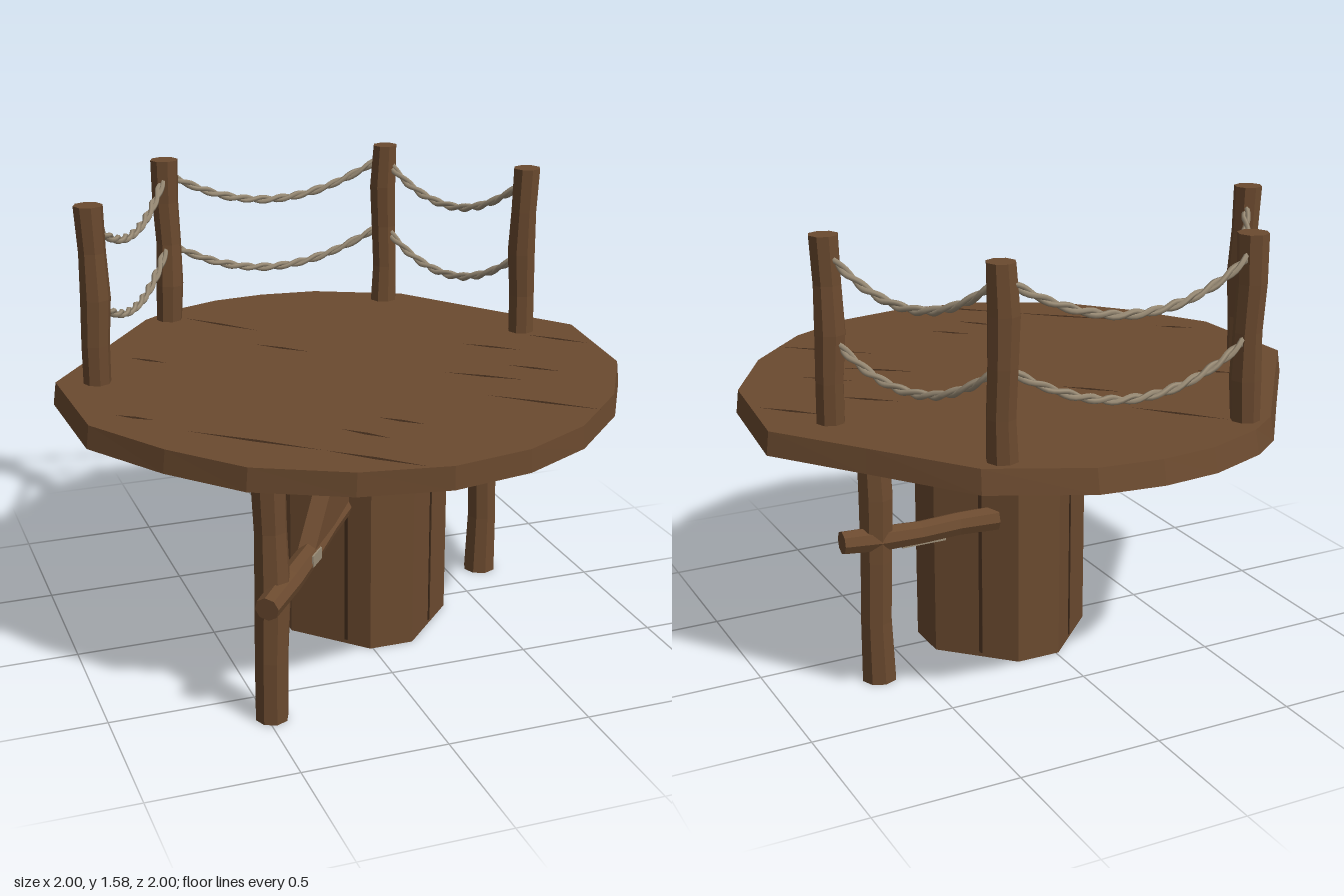
import * as THREE from 'three';

const wood = new THREE.MeshStandardMaterial({ color: 0x6b4a2f, flatShading: true });
wood.name = 'wood';
const crackWood = new THREE.MeshStandardMaterial({ color: 0x3f2a1a });
crackWood.name = 'darkCrack';
const ropeFibre = new THREE.MeshStandardMaterial({ color: 0x9a8c76 });
ropeFibre.name = 'ropeFibre';

const V = (x, y, z) => new THREE.Vector3(x, y, z);

function add(parent, name, geometry, material) {
  const mesh = new THREE.Mesh(geometry, material);
  mesh.name = name;
  parent.add(mesh);
  return mesh;
}

// Slightly crooked octagonal log between two points
function log(parent, name, a, b, r, seed = 0) {
  const len = a.distanceTo(b);
  const geo = new THREE.CylinderGeometry(r, r, len, 8, 4);
  const p = geo.attributes.position;
  for (let i = 0; i < p.count; i++) {
    const t = p.getY(i) / len;
    const swell = 1 + 0.06 * Math.sin(t * 9 + seed * 2);
    p.setX(i, p.getX(i) * swell + 0.005 * Math.sin(t * 7 + seed));
    p.setZ(i, p.getZ(i) * swell + 0.005 * Math.cos(t * 6 + seed));
  }
  const mesh = add(parent, name, geo, wood);
  mesh.position.copy(a).lerp(b, 0.5);
  mesh.quaternion.setFromUnitVectors(V(0, 1, 0), b.clone().sub(a).normalize());
  return mesh;
}

// Horizontal outline of [x, z] points, extruded down from a top height
function slab(outline, top, depth) {
  const shape = new THREE.Shape(outline.map(([x, z]) => new THREE.Vector2(x, z)));
  const geo = new THREE.ExtrudeGeometry(shape, { depth, bevelEnabled: false });
  return geo.rotateX(Math.PI / 2).translate(0, top, 0);
}

// Two twisted strands sagging between posts
function rope(parent, a, b, y, sag, bow) {
  const group = new THREE.Group();
  group.name = 'rope';
  const side = V(a[1] - b[1], 0, b[0] - a[0]).normalize();
  const turns = Math.hypot(b[0] - a[0], b[1] - a[1]) * 7;
  for (let s = 0; s < 2; s++) {
    const pts = [];
    for (let i = 0; i <= 40; i++) {
      const t = i / 40, arc = 4 * t * (1 - t);
      const angle = Math.PI * (2 * turns * t + s);
      const p = V(a[0] + (b[0] - a[0]) * t, y - sag * arc, a[1] + (b[1] - a[1]) * t - bow * Math.sqrt(arc));
      p.addScaledVector(side, 0.008 * Math.cos(angle));
      p.y += 0.008 * Math.sin(angle);
      pts.push(p);
    }
    add(group, 'ropeStrand', new THREE.TubeGeometry(new THREE.CatmullRomCurve3(pts), 60, 0.0095, 5), ropeFibre);
  }
  parent.add(group);
}

export function createModel() {
  const model = new THREE.Group();
  model.name = 'woodenLookoutPlatform';

  // Deck
  const deck = [
    [0, -1], [0.22, -0.975], [0.54, -0.82], [0.78, -0.49], [1, -0.19], [0.95, 0.27], [0.77, 0.58],
    [0.53, 0.82], [0.28, 0.95], [0, 1], [-0.3, 0.95], [-0.6, 0.8], [-0.8, 0.57], [-0.98, 0.28],
    [-1, -0.18], [-0.76, -0.5], [-0.53, -0.81], [-0.41, -0.9], [-0.2, -0.98],
  ];
  const deckGeo = slab(deck, 0.96, 0.08);
  const dp = deckGeo.attributes.position;
  for (let i = 0; i < dp.count; i++) {
    if (dp.getY(i) > 0.92) {
      dp.setX(i, dp.getX(i) * 0.99);
      dp.setZ(i, dp.getZ(i) * (dp.getZ(i) < 0 ? 0.98 : 1));
    }
  }
  deckGeo.computeVertexNormals();
  add(model, 'deck', deckGeo, wood);

  // Cracks along the deck boards: x1, z1, x2, z2
  const cracks = [
    [-0.38, -0.76, -0.16, -0.51], [-0.22, -0.35, -0.06, -0.2], [0.31, 0.18, 0.54, 0.35],
    [0.35, 0.45, 0.65, 0.71], [-0.69, 0.44, -0.33, 0.75], [-0.33, 0.75, -0.08, 0.98],
    [-0.87, 0.22, -0.76, 0.31], [0.5, -0.1, 0.67, 0.04], [0.55, 0.18, 0.7, 0.31],
    [-0.07, 0.53, 0.05, 0.64], [-0.22, 0.59, -0.1, 0.72], [0.77, -0.12, 0.94, 0.05],
    [-0.69, -0.35, -0.58, -0.25],
  ];
  for (const [x1, z1, x2, z2] of cracks) {
    const geo = new THREE.CircleGeometry(0.5, 4).rotateX(-Math.PI / 2);
    const crack = add(model, 'deckCrack', geo, crackWood);
    crack.scale.set(Math.hypot(x2 - x1, z2 - z1), 1, 0.018);
    crack.rotation.y = -Math.atan2(z2 - z1, x2 - x1);
    crack.position.set((x1 + x2) / 2, 0.962, (z1 + z2) / 2);
  }

  // Trunk: a square turned 45 degrees with cut corners
  const trunk = [
    [0.37, -0.08], [0.37, 0.08], [0.15, 0.31], [-0.01, 0.31],
    [-0.23, 0.08], [-0.23, -0.08], [-0.01, -0.3], [0.15, -0.3],
  ];
  add(model, 'trunk', slab(trunk, 0.9, 0.9), wood);

  // Vertical splits in the four broad trunk faces
  for (const [i, t] of [[1, 0.5], [3, 0.3], [5, 0.6], [7, 0.45]]) {
    const [ax, az] = trunk[i], [bx, bz] = trunk[(i + 1) % 8];
    const split = add(model, 'trunkSplit', new THREE.BoxGeometry(0.012, 0.86, 0.006), crackWood);
    split.position.set(ax + (bx - ax) * t, 0.445, az + (bz - az) * t);
    split.rotation.y = -Math.atan2(bz - az, bx - ax);
  }

  // Support legs
  log(model, 'frontLeg', V(-0.48, 0, 0.65), V(-0.48, 0.9, 0.65), 0.058, 1);
  log(model, 'sideLeg', V(0.635, 0, -0.19), V(0.635, 0.9, -0.19), 0.058, 3);

  // Braces from legs to trunk
  log(model, 'frontBrace', V(-0.53, 0.455, 0.77), V(-0.07, 0.53, 0.2), 0.042, 2);
  log(model, 'frontUpperBrace', V(-0.48, 0.855, 0.65), V(-0.33, 0.86, 0.45), 0.035, 4);
  log(model, 'sideBrace', V(0.76, 0.53, -0.2), V(0.2, 0.525, -0.22), 0.042, 5);

  // Wedge rising from the front brace to the trunk
  const wedgeShape = new THREE.Shape([[0.32, 0.48], [0.73, 0.5], [0.73, 0.88]].map(([u, y]) => new THREE.Vector2(u, y)));
  const wedgeGeo = new THREE.ExtrudeGeometry(wedgeShape, { depth: 0.06, bevelEnabled: false }).translate(0, 0, -0.03);
  const wedge = add(model, 'braceWedge', wedgeGeo, wood);
  wedge.position.set(-0.53, 0, 0.77);
  wedge.rotation.y = Math.atan2(0.57, 0.46);

  // Pale bare patches on the braces
  const patchA = add(model, 'bracePatch', new THREE.BoxGeometry(0.08, 0.04, 0.006), ropeFibre);
  patchA.position.set(-0.285, 0.5, 0.535);
  patchA.rotation.y = wedge.rotation.y;
  const patchB = add(model, 'bracePatch', new THREE.BoxGeometry(0.16, 0.006, 0.03), ropeFibre);
  patchB.position.set(0.47, 0.486, -0.21);

  // Railing posts and ropes
  const posts = [[-0.85, -0.13], [-0.43, -0.78], [0.445, -0.77], [0.775, -0.19]];
  posts.forEach(([x, z], i) => log(model, 'railPost', V(x, 0.94, z), V(x, 1.58, z), 0.05, i + 1));
  for (let i = 0; i < 3; i++) {
    const middle = i === 1;
    for (const y of [1.53, 1.26]) rope(model, posts[i], posts[i + 1], y, 0.145, middle ? 0.06 : 0);
  }
  return model;
}
